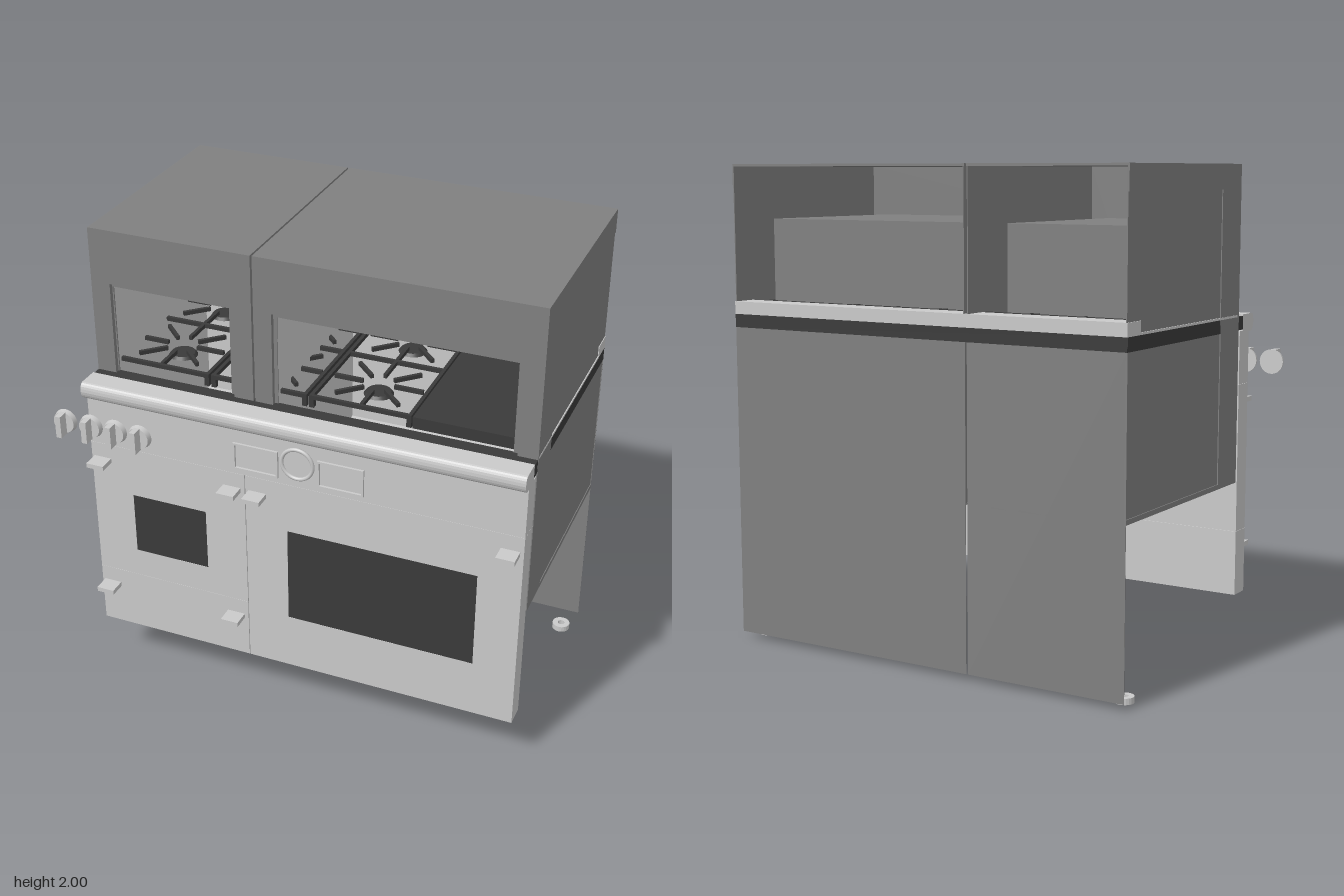
import * as THREE from 'three';

const material = (name, color) =>
  Object.assign(new THREE.MeshStandardMaterial({ color, side: THREE.DoubleSide }), { name });

export function createModel() {
  const steel = material('light steel', 0xcacaca);
  const grey = material('cabinet grey', 0x808080);
  const black = material('dark iron and glass', 0x3a3a3a);
  const root = new THREE.Group();
  root.name = 'rangeCooker';

  const add = (name, geometry, mat, parent = root) => {
    const mesh = new THREE.Mesh(geometry, mat);
    mesh.name = name;
    parent.add(mesh);
    return mesh;
  };
  // Box given by its limits on each axis
  const boxGeometry = (x0, x1, y0, y1, z0, z1) =>
    new THREE.BoxGeometry(x1 - x0, y1 - y0, z1 - z0).translate((x0 + x1) / 2, (y0 + y1) / 2, (z0 + z1) / 2);
  const box = (name, mat, x0, x1, y0, y1, z0, z1, parent) =>
    add(name, boxGeometry(x0, x1, y0, y1, z0, z1), mat, parent);
  // Box without its front side
  const openBox = (name, mat, limits, parent) => {
    const g = boxGeometry(...limits);
    g.setIndex([...g.index.array].filter((_, i) => i < 24 || i >= 30));
    g.clearGroups();
    return add(name, g, mat, parent);
  };
  // Upright panel with a rectangular hole
  const rect = (P, x0, x1, y0, y1) => {
    const s = new P();
    s.moveTo(x0, y0).lineTo(x1, y0).lineTo(x1, y1).lineTo(x0, y1).closePath();
    return s;
  };
  const framed = (name, mat, outer, inner, z0, z1, parent) => {
    const s = rect(THREE.Shape, ...outer);
    s.holes.push(rect(THREE.Path, ...inner));
    const g = new THREE.ExtrudeGeometry(s, { depth: z1 - z0, bevelEnabled: false });
    return add(name, g.translate(0, 0, z0), mat, parent);
  };

  // Two oven cabinets, open at the back, each with a lined cavity behind the front opening
  const cabinets = [
    { name: 'smallCabinet', x0: -0.85, x1: -0.163, hole: [-0.77, -0.245], liner: [-0.765, -0.265] },
    { name: 'largeCabinet', x0: -0.155, x1: 0.985, hole: [-0.08, 0.905], liner: [-0.065, 0.885] },
  ];
  for (const c of cabinets) {
    const g = new THREE.Group();
    g.name = c.name;
    root.add(g);
    box('cabinetTop', grey, c.x0, c.x1, 1.99, 2, -0.58, 0.385, g);
    box('cabinetFloor', grey, c.x0, c.x1, 0.7, 0.706, -0.58, 0.385, g);
    framed('cabinetFront', grey, [c.x0, c.x1, 0.7, 2], [...c.hole, 0.9, 1.775], 0.377, 0.385, g);
    for (const x of [c.x0 + 0.003, c.x1 - 0.007]) {
      box('cabinetSide', grey, x, x + 0.004, 0.7, 2, -0.58, 0.385, g);
    }
    openBox('cavityShell', grey, [...c.hole, 0.9, 1.775, -0.42, 0.377], g);
    framed('cavityRim', grey, [...c.hole, 0.9, 1.775], [...c.liner, 0.92, 1.757], 0.36, 0.366, g);
    openBox('cavityLiner', steel, [...c.liner, 0.92, 1.757, -0.41, 0.362], g);
    box('backPanel', grey, c.x0, c.x1, 0.026, 1.33, -0.58, -0.578, g);
  }
  // Raised border on both outer sides
  for (const [x0, x1] of [[-0.851, -0.846], [0.98, 0.985]]) {
    box('sideBorderFront', grey, x0, x1, 0.7, 1.999, 0.21, 0.385);
    box('sideBorderTop', grey, x0, x1, 1.9, 1.999, -0.58, 0.21);
    box('sideBorderBottom', grey, x0, x1, 0.7, 0.72, -0.58, 0.21);
  }

  // Cooktop rim, top trim and rear guard
  box('cooktopSide', black, 0.95, 0.9845, 1.33, 1.385, -0.58, 0.38);
  box('cooktopSide', black, -0.8505, -0.82, 1.33, 1.385, -0.58, 0.38);
  box('cooktopFront', black, -0.85, 0.984, 1.33, 1.385, 0.36, 0.43);
  box('cooktopBack', black, -0.85, 0.984, 1.33, 1.385, -0.583, -0.54);
  box('sideTrim', steel, 0.96, 0.986, 1.385, 1.394, -0.48, 0.37);
  box('sideTrim', steel, -0.852, -0.83, 1.385, 1.394, -0.48, 0.37);
  box('rearGuard', steel, -0.851, 0.985, 1.385, 1.437, -0.583, -0.48);

  // Burners and cast grates
  const grateSpans = [[-0.81, -0.375], [-0.365, 0.045], [0.055, 0.475]];
  for (const [x0, x1] of grateSpans) {
    const g = new THREE.Group();
    g.name = 'grate';
    root.add(g);
    const cx = (x0 + x1) / 2;
    for (const z of [-0.46, -0.06, 0.33]) box('grateBar', black, x0, x1, 1.42, 1.437, z, z + 0.015, g);
    for (const x of [x0, x1 - 0.015]) box('grateRail', black, x, x + 0.015, 1.42, 1.437, -0.46, 0.345, g);
    for (const x of [x0, x1 - 0.02]) {
      for (const z of [-0.46, 0.325]) box('grateFoot', black, x, x + 0.02, 1.385, 1.42, z, z + 0.02, g);
    }
    for (const cz of [-0.25, 0.14]) {
      const burner = new THREE.CylinderGeometry(0.05, 0.06, 0.012, 20);
      add('burner', burner.translate(cx, 1.391, cz), black, g);
      for (let i = 0; i < 8; i++) {
        const finger = new THREE.BoxGeometry(0.12, 0.017, 0.014).translate(0.125, 0, 0);
        add('grateFinger', finger.rotateY(i * Math.PI / 4).translate(cx, 1.428, cz), black, g);
      }
    }
  }
  box('griddle', black, 0.48, 0.94, 1.385, 1.434, -0.46, 0.345);

  // Rounded front rail, extruded along x
  const rail = new THREE.Shape();
  rail.moveTo(0.43, 1.325).lineTo(0.505, 1.318).quadraticCurveTo(0.53, 1.32, 0.535, 1.355);
  rail.quadraticCurveTo(0.535, 1.39, 0.515, 1.392).lineTo(0.43, 1.392).closePath();
  const railGeo = new THREE.ExtrudeGeometry(rail, { depth: 1.835, bevelEnabled: false, curveSegments: 5 });
  add('frontRail', railGeo.rotateY(-Math.PI / 2).translate(0.985, 0, 0), steel);

  // Control panel, doors and drawer
  box('controlPanel', steel, -0.85, 0.985, 1.1055, 1.325, 0.4, 0.49);
  const doors = [
    { name: 'smallDoor', outer: [-0.85, -0.162, 0.4905, 1.1045], glass: [-0.67, -0.34, 0.615, 0.887] },
    { name: 'largeDoor', outer: [-0.159, 0.985, 0.22, 1.1045], glass: [0.02, 0.81, 0.465, 0.887] },
  ];
  for (const d of doors) {
    framed(d.name, steel, d.outer, d.glass, 0.4, 0.49);
    const [x0, x1, y0, y1] = d.glass;
    box(d.name + 'Glass', black, x0, x1, y0, y1, 0.482, 0.489);
  }
  box('drawer', steel, -0.85, -0.162, 0.22, 0.4895, 0.4, 0.49);

  // Handle brackets
  for (const [x, y] of [[-0.8, 1.03], [-0.218, 1.03], [-0.107, 1.03], [0.932, 1.03], [-0.8, 0.413], [-0.218, 0.413]]) {
    box('handleBracket', steel, x - 0.038, x + 0.038, y - 0.01, y + 0.01, 0.49, 0.56);
  }

  // Knobs: disc with an upright grip
  for (const x of [-0.942, -0.825, -0.715, -0.605]) {
    const g = new THREE.Group();
    g.name = 'knob';
    g.position.set(x, 1.195, 0);
    root.add(g);
    add('knobDisc', new THREE.CylinderGeometry(0.046, 0.051, 0.022, 28).rotateX(Math.PI / 2).translate(0, 0, 0.526), steel, g);
    box('knobGrip', steel, -0.012, 0.012, -0.048, 0.048, 0.535, 0.58, g);
  }

  // Two framed displays and a round dial
  for (const x of [-0.205, 0.152]) {
    framed('displayFrame', steel, [x, x + 0.192, 1.13, 1.248], [x + 0.009, x + 0.183, 1.139, 1.239], 0.49, 0.5);
  }
  add('dialFace', new THREE.CylinderGeometry(0.06, 0.06, 0.01, 32).rotateX(Math.PI / 2).translate(0.07, 1.214, 0.493), steel);
  add('dialRing', new THREE.TorusGeometry(0.065, 0.008, 8, 36).translate(0.07, 1.214, 0.499), steel);

  // Rear feet
  for (const x of [-0.8, 0.932]) {
    const profile = [[0.015, 0], [0.038, 0], [0.038, 0.025], [0.015, 0.025], [0.015, 0]];
    const foot = new THREE.LatheGeometry(profile.map(([r, y]) => new THREE.Vector2(r, y)), 20).toNonIndexed();
    foot.computeVertexNormals();
    add('foot', foot.translate(x, 0, -0.48), steel);
  }
  return root;
}
